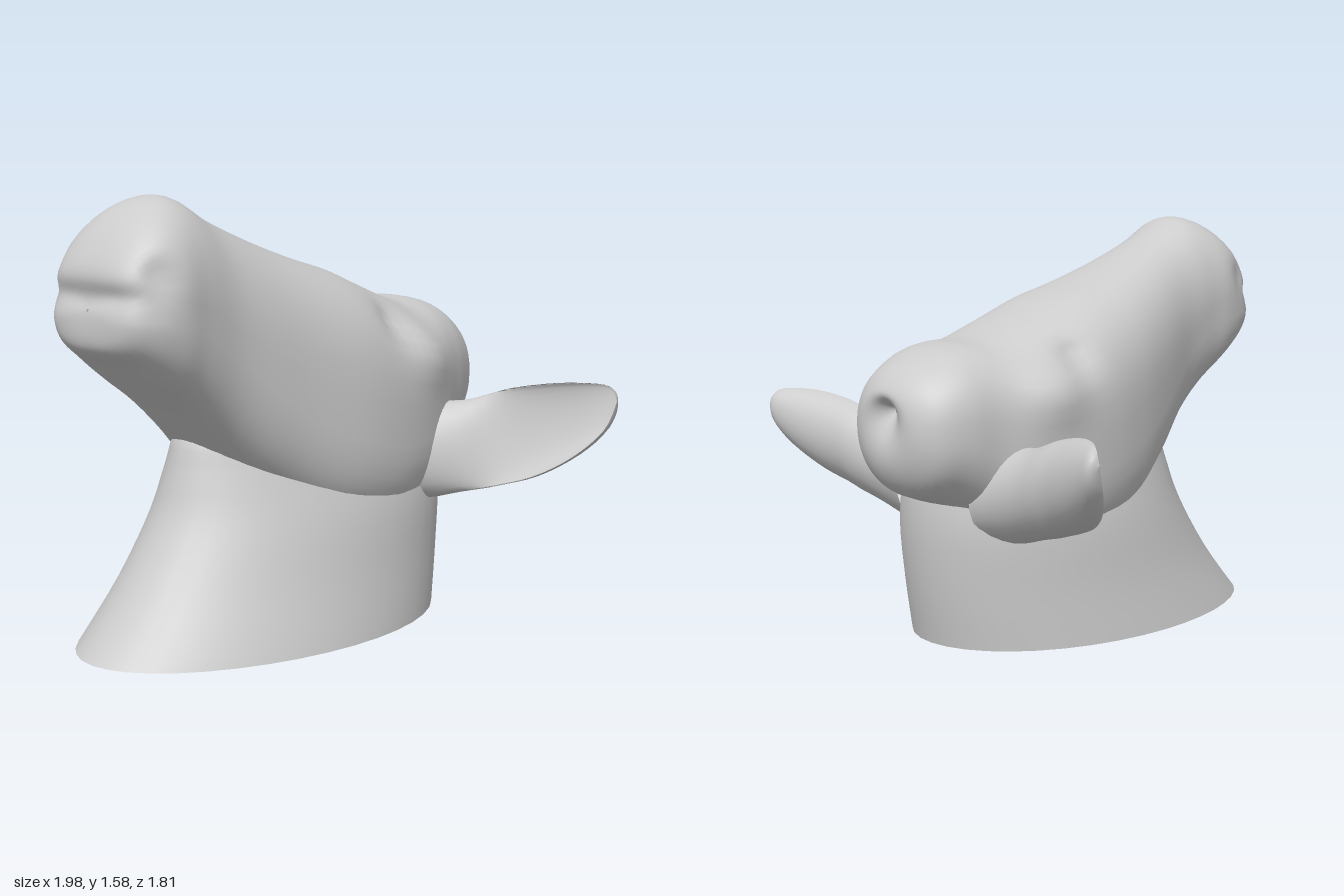
import * as THREE from 'three';

const material = new THREE.MeshStandardMaterial({ color: 0xcccccc, side: THREE.DoubleSide });

// Smooth uniform spline through rows of numbers, sampled into `count` rows
function resample(rows, count) {
  const curves = rows[0].map((_, k) => new THREE.SplineCurve(rows.map((r, i) => new THREE.Vector2(i, r[k]))));
  return Array.from({ length: count }, (_, i) => curves.map((c) => c.getPoint(i / (count - 1)).y));
}

// Skin closed rings of equal point count, joined end to end
function loft(name, rings) {
  const n = rings[0].length;
  const index = [];
  for (let i = 0; i < rings.length - 1; i++) {
    for (let j = 0; j < n; j++) {
      const k = (j + 1) % n;
      const a = i * n + j, b = i * n + k, c = a + n, d = b + n;
      index.push(a, b, d, a, d, c);
    }
  }
  const geometry = new THREE.BufferGeometry();
  geometry.setAttribute('position', new THREE.Float32BufferAttribute(rings.flat(2), 3));
  geometry.setIndex(index);
  geometry.computeVertexNormals();
  const mesh = new THREE.Mesh(geometry, material);
  mesh.name = name;
  return mesh;
}

const ring = (n, fn) => Array.from({ length: n }, (_, j) => fn((j / n) * Math.PI * 2));
const power = (v, p) => Math.sign(v) * Math.abs(v) ** p;

// Local swellings and hollows, mirrored: x, y, z, radius, sideways push
const features = [
  [0.4, 1.0, 0.32, 0.13, 0.05],    // brow
  [0.36, 1.12, 0.47, 0.07, -0.05], // eye socket
  [0.24, 1.34, 1.56, 0.06, -0.03], // nostril
];

function sculpt([x, y, z]) {
  let dx = 0;
  for (const [fx, fy, fz, r, push] of features) {
    const d2 = (Math.abs(x) - fx) ** 2 + (y - fy) ** 2 + (z - fz) ** 2;
    dx += push * Math.exp(-d2 / (r * r));
  }
  // mouth crease, and a slight turn of the muzzle and poll
  const front = THREE.MathUtils.smoothstep(z, 1.45, 1.62);
  const crease = 0.025 * front * Math.exp(-(((y - 1.27) / 0.04) ** 2));
  const turn = 0.055 * THREE.MathUtils.smoothstep(z, 0.8, 1.5)
    - 0.03 * (1 - THREE.MathUtils.smoothstep(z, -0.1, 0.2));
  return [x + Math.sign(x) * dx + turn, y, z - crease];
}

// Skull from dented poll to muzzle: z, top, bottom, half width, roundness above, below
function makeHead() {
  const sections = resample([
    [-0.13, 0.94, 0.92, 0.005, 1, 1],
    [-0.185, 0.98, 0.81, 0.09, 1, 1],
    [-0.18, 1.02, 0.71, 0.17, 0.95, 0.95],
    [-0.12, 1.08, 0.62, 0.25, 0.85, 0.9],
    [-0.01, 1.135, 0.57, 0.305, 0.8, 0.85],
    [0.1, 1.16, 0.51, 0.34, 0.8, 0.75],
    [0.25, 1.17, 0.41, 0.39, 0.8, 0.65],
    [0.45, 1.24, 0.37, 0.42, 0.8, 0.55],
    [0.63, 1.31, 0.38, 0.42, 0.8, 0.55],
    [0.8, 1.36, 0.44, 0.39, 0.8, 0.55],
    [1.0, 1.43, 0.57, 0.335, 0.85, 0.6],
    [1.2, 1.51, 0.73, 0.28, 0.9, 0.7],
    [1.35, 1.585, 0.86, 0.27, 0.95, 0.65],
    [1.47, 1.565, 0.95, 0.275, 0.9, 0.62],
    [1.57, 1.49, 1.03, 0.255, 0.85, 0.62],
    [1.645, 1.39, 1.08, 0.2, 0.8, 0.7],
    [1.67, 1.31, 1.13, 0.12, 0.8, 0.8],
    [1.67, 1.23, 1.22, 0.005, 1, 1],
  ], 86);
  return loft('head', sections.map(([z, top, bottom, half, high, low]) => ring(48, (a) => {
    const p = Math.sin(a) < 0 ? low : high;
    return sculpt([
      half * power(Math.cos(a), p),
      (top + bottom) / 2 + ((top - bottom) / 2) * power(Math.sin(a), p),
      z,
    ]);
  })));
}

// Open-ended neck, fuller at the back: height, back z, front z, half width
function makeNeck() {
  const sections = resample([
    [0.01, 0.04, 1.62, 0.475],
    [0.22, 0.0, 1.44, 0.43],
    [0.45, -0.03, 1.29, 0.39],
    [0.62, -0.03, 1.23, 0.335],
    [0.76, 0.0, 1.18, 0.28],
    [0.9, 0.12, 1.0, 0.2],
  ], 21);
  return loft('neck', sections.map(([y, back, front, half]) => ring(40, (a) => [
    half * (1 - 0.08 * Math.cos(a)) * Math.sin(a),
    y,
    (back + front) / 2 + ((front - back) / 2) * Math.cos(a),
  ])));
}

// Cupped ear: x, y, z, half height, half thickness, hollow
function makeEar() {
  const sections = resample([
    [0.22, 0.6, 0.24, 0.19, 0.16, -1],
    [0.33, 0.61, 0.23, 0.185, 0.14, -1],
    [0.45, 0.635, 0.21, 0.175, 0.125, -0.6],
    [0.6, 0.68, 0.18, 0.18, 0.12, 0.1],
    [0.75, 0.72, 0.13, 0.17, 0.115, 0.35],
    [0.87, 0.765, 0.07, 0.135, 0.09, 0.35],
    [0.95, 0.81, 0.015, 0.08, 0.05, 0.2],
    [0.975, 0.835, -0.005, 0.003, 0.003, 0],
  ], 29);
  return loft('ear', sections.map(([x, y, z, half, thick, hollow]) => ring(28, (a) => {
    const w = half * Math.cos(a);
    const s = Math.sin(a);
    const n = thick * ((s > 0 ? -hollow * s : 1.2 * s) + 0.4 * Math.max(0, hollow));
    return [x, y + 0.98 * w + 0.2 * n, z - 0.2 * w + 0.98 * n];
  })));
}

export function createModel() {
  const model = new THREE.Group();
  model.name = 'animalHead';

  // Turned so the muzzle points to its right and a little forward
  const bust = new THREE.Group();
  bust.name = 'bust';
  bust.position.x = 0.58;
  bust.rotation.y = -1.16;
  bust.add(makeHead(), makeNeck());

  for (const side of [1, -1]) {
    const ear = makeEar();
    ear.name = side > 0 ? 'leftEar' : 'rightEar';
    ear.scale.x = side;
    bust.add(ear);
  }
  model.add(bust);
  return model;
}
